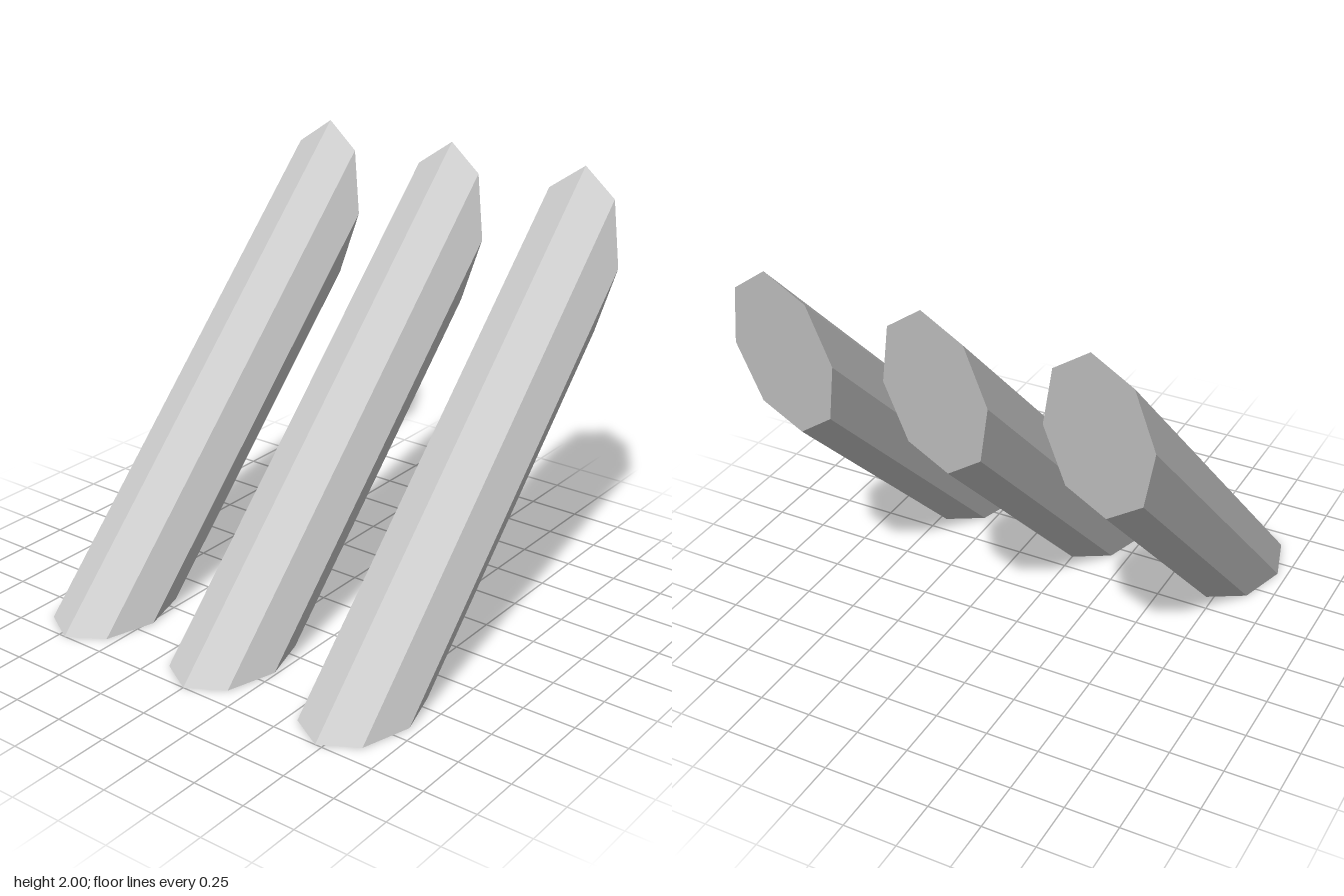
import * as THREE from 'three';

const RADIUS = 0.238;

// Octagonal bar leaning back at 45 degrees, cut flat at the floor and obliquely at the top
function leaningBarGeometry() {
  const geometry = new THREE.CylinderGeometry(RADIUS, RADIUS, 1, 8, 1).toNonIndexed();
  const p = geometry.attributes.position;
  for (let i = 0; i < p.count; i++) {
    const c = p.getZ(i) / RADIUS; // 1 at the front edge, -1 at the back edge
    if (p.getY(i) > 0) {
      p.setY(i, 1.583 + 0.417 * c);
      p.setZ(i, -0.917 - 0.083 * c);
    } else {
      p.setY(i, 0);
      p.setZ(i, 0.667 + 0.333 * c);
    }
  }
  geometry.computeVertexNormals();
  return geometry;
}

export function createModel() {
  const model = new THREE.Group();
  model.name = 'leaningBars';
  const material = new THREE.MeshStandardMaterial({ color: 0xcccccc, flatShading: true });
  const geometry = leaningBarGeometry();

  // Three identical bars side by side
  [['rightBar', -0.717], ['middleBar', 0], ['leftBar', 0.717]].forEach(([name, x]) => {
    const bar = new THREE.Mesh(geometry, material);
    bar.name = name;
    bar.position.x = x;
    model.add(bar);
  });
  return model;
}
